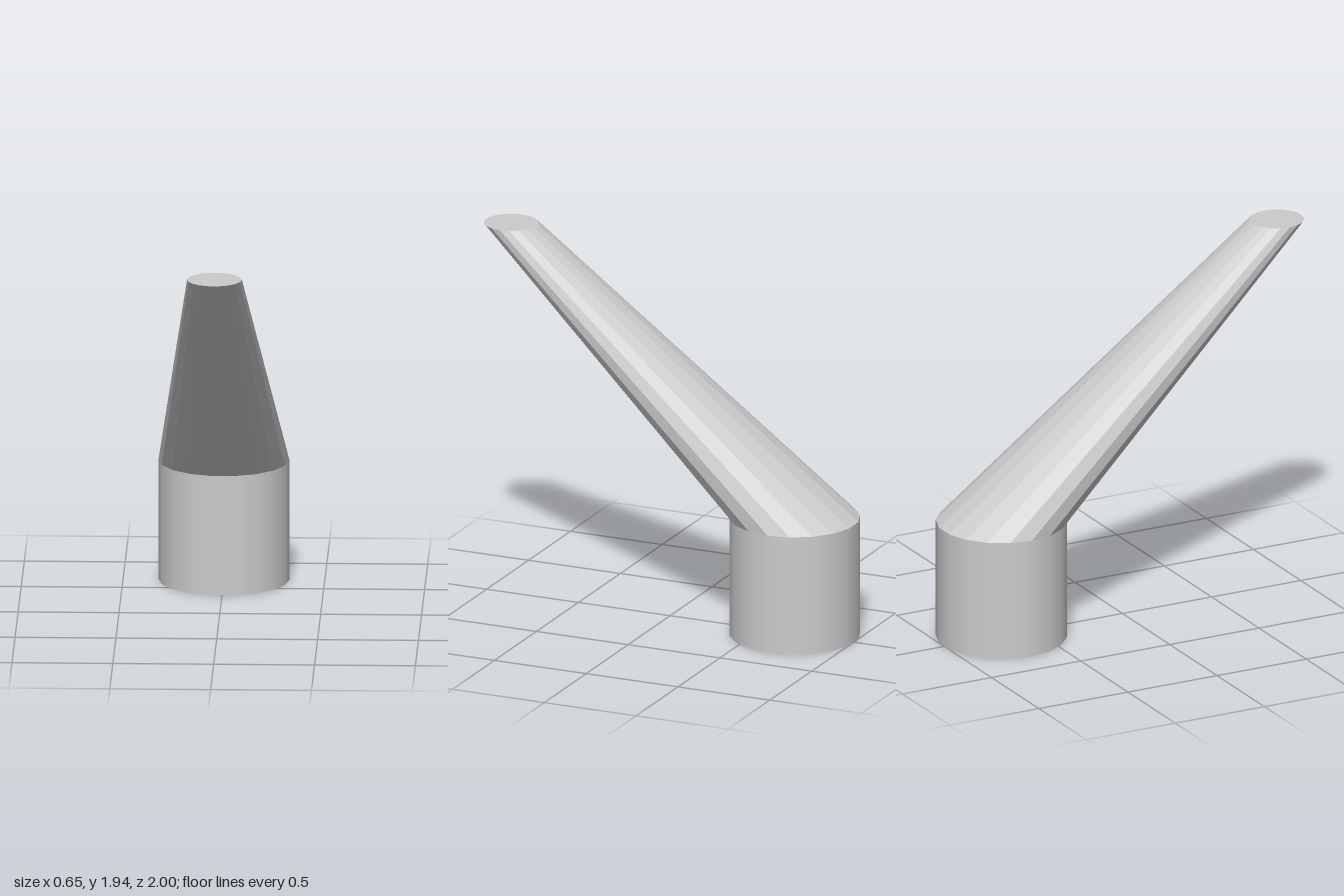
import * as THREE from 'three';

const SIDES = 18;
const BASE_RADIUS = 0.325, BASE_HEIGHT = 0.61, BASE_Z = -0.68;
const TIP_RADIUS = 0.136, TIP_Y = 1.935, TIP_Z = 0.866;

// Upright cylinder standing on y = 0, with a corner on the x axis
function column(topRadius, bottomRadius, height) {
  const geometry = new THREE.CylinderGeometry(topRadius, bottomRadius, height, SIDES, 1, false, Math.PI / 2);
  return geometry.translate(0, height / 2, 0);
}

export function createModel() {
  const group = new THREE.Group();

  // Round base with smooth sides
  const base = new THREE.Mesh(
    column(BASE_RADIUS, BASE_RADIUS, BASE_HEIGHT),
    new THREE.MeshStandardMaterial({ color: 0xcccccc })
  );
  base.name = 'base';
  base.position.z = BASE_Z;
  group.add(base);

  // Tapered faceted arm, sheared forward so both ends stay level
  const height = TIP_Y - BASE_HEIGHT;
  const shear = new THREE.Matrix4();
  shear.elements[6] = (TIP_Z - BASE_Z) / height; // z grows with y
  const armGeometry = column(TIP_RADIUS, BASE_RADIUS, height).applyMatrix4(shear).toNonIndexed();
  armGeometry.computeVertexNormals();
  const arm = new THREE.Mesh(
    armGeometry,
    new THREE.MeshStandardMaterial({ color: 0xcccccc, flatShading: true })
  );
  arm.name = 'slantedArm';
  arm.position.set(0, BASE_HEIGHT, BASE_Z);
  group.add(arm);

  return group;
}
